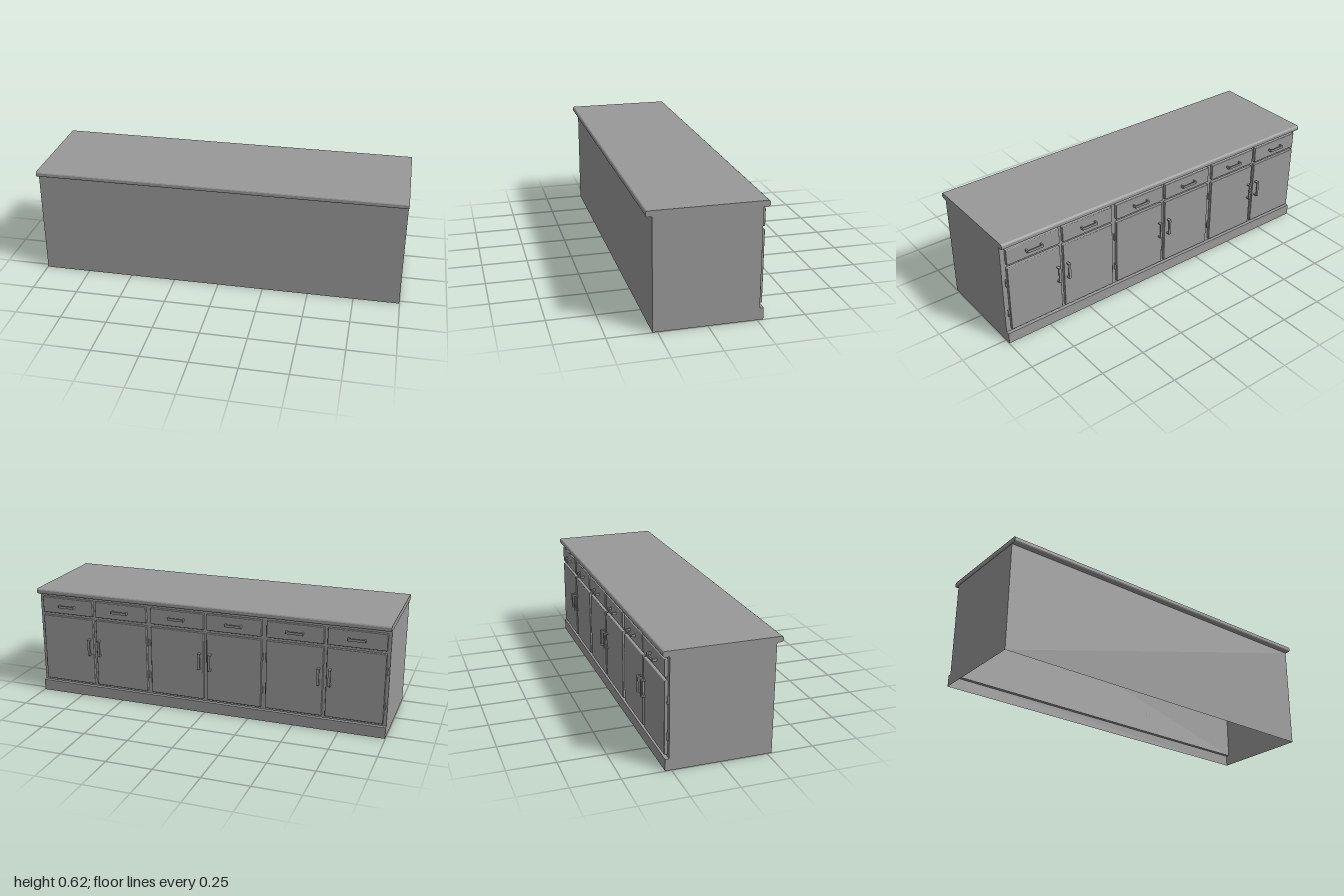
import * as THREE from 'three';
import { RoundedBoxGeometry } from 'three/addons/geometries/RoundedBoxGeometry.js';

const grey = new THREE.MeshStandardMaterial({ color: 0x999999, side: THREE.DoubleSide });
grey.name = 'plain grey';

// Extrude a (z, y) outline along x, centred on x = 0
function extrudeX(points, width) {
  const shape = new THREE.Shape(points.map(([z, y]) => new THREE.Vector2(z, y)));
  return new THREE.ExtrudeGeometry(shape, { depth: width, bevelEnabled: false })
    .translate(0, 0, -width / 2)
    .rotateY(-Math.PI / 2);
}

// Remove the triangles lying on the floor, leaving the carcass open below
function openBottom(geometry) {
  const p = geometry.attributes.position;
  const kept = [];
  for (let i = 0; i < p.count; i += 3) {
    if (Math.max(p.getY(i), p.getY(i + 1), p.getY(i + 2)) < 1e-5) continue;
    for (let k = i; k < i + 3; k++) kept.push(p.getX(k), p.getY(k), p.getZ(k));
  }
  const open = new THREE.BufferGeometry();
  open.setAttribute('position', new THREE.Float32BufferAttribute(kept, 3));
  open.computeVertexNormals();
  return open;
}

export function createModel() {
  const group = new THREE.Group();
  function add(name, geometry, x = 0, y = 0, z = 0) {
    const mesh = new THREE.Mesh(geometry, grey);
    mesh.name = name;
    mesh.position.set(x, y, z);
    group.add(mesh);
    return mesh;
  }

  // Carcass with the stepped plinth
  add('carcass', openBottom(extrudeX([
    [0.275, 0], [0.275, 0.588], [-0.262, 0.588], [-0.262, 0.062], [-0.282, 0.062], [-0.282, 0],
  ], 1.996)));

  // Worktop with softened long edges
  add('worktop', extrudeX([
    [0.299, 0.587], [0.304, 0.590], [0.307, 0.595], [0.307, 0.609], [0.304, 0.614], [0.299, 0.617],
    [-0.287, 0.617], [-0.292, 0.614], [-0.295, 0.609], [-0.295, 0.595], [-0.292, 0.590], [-0.287, 0.587],
  ], 2));

  const width = 0.308;
  const doorGeo = new RoundedBoxGeometry(width, 0.384, 0.019, 2, 0.004);
  const drawerGeo = new RoundedBoxGeometry(width, 0.091, 0.019, 2, 0.004);
  const hingeGeo = new THREE.BoxGeometry(0.012, 0.041, 0.008);

  // Bow handle: two short legs and a bar with clipped corners
  const h = 0.0465, t = 0.007;
  const handleGeo = extrudeX([
    [-0.281, h], [-0.303, h], [-0.305, h - 0.002], [-0.305, -h + 0.002], [-0.303, -h], [-0.281, -h],
    [-0.281, -h + t], [-0.299, -h + t], [-0.299, h - t], [-0.281, h - t],
  ], 0.013);

  // Three pairs of doors with a drawer above each
  for (let pair = -1; pair <= 1; pair++) {
    const centre = pair * 0.661 - 0.004;
    for (const side of [-1, 1]) {
      const x = centre + side * 0.163;
      add('door', doorGeo, x, 0.27, -0.2725);
      add('drawerFront', drawerGeo, x, 0.5245, -0.2725);
      add('doorHandle', handleGeo, centre + side * 0.03, 0.3015, 0);
      add('drawerHandle', handleGeo, x, 0.525, 0).rotation.z = Math.PI / 2;
      for (const y of [0.175, 0.365]) {
        add('hinge', hingeGeo, x + side * (width / 2 + 0.001), y, -0.266);
      }
    }
  }
  return group;
}
